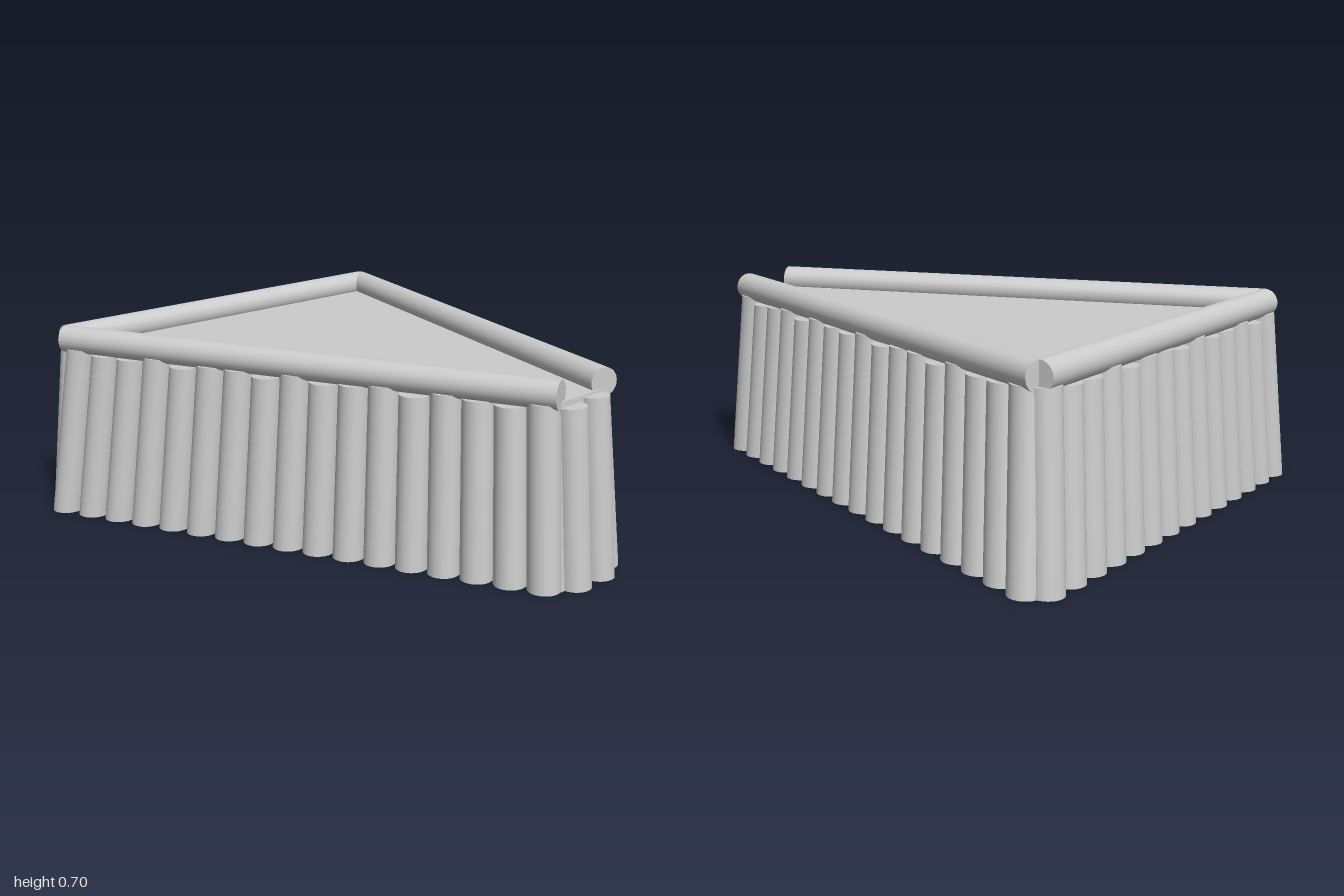
import * as THREE from 'three';
import { mergeGeometries } from 'three/addons/utils/BufferGeometryUtils.js';

const LOG_R = 0.056;
const RAIL_R = 0.05;
const RAIL_Y = 0.654;
const PLATE_Y = 0.63;
const CEILING_Y = 0.585;

// Corners of the leaning lining at the ground and at the plate
const BASE = [[-0.945, 0.83], [0.945, 0.14], [0.945, -0.14], [-0.945, -0.83]];
const TOP = [[-0.895, 0.757], [0.895, 0.113], [0.895, -0.113], [-0.895, -0.757]];

const material = new THREE.MeshStandardMaterial({ color: 0xcccccc });
const thin = new THREE.MeshStandardMaterial({ color: 0xcccccc, side: THREE.DoubleSide });

// Half-round log, open below, facing outwards along angle and leaning from base to top
function halfLog([bx, bz], [tx, tz], height, angle) {
  const tube = new THREE.CylinderGeometry(LOG_R * 0.97, LOG_R, height, 16, 1, true, -Math.PI / 2, Math.PI);
  const cap = new THREE.CircleGeometry(LOG_R * 0.97, 16, Math.PI, Math.PI);
  tube.translate(0, height / 2, 0);
  cap.rotateX(-Math.PI / 2).translate(0, height, 0);
  const geo = mergeGeometries([tube, cap]).rotateY(angle);
  const pos = geo.attributes.position;
  for (let i = 0; i < pos.count; i++) {
    const t = pos.getY(i) / PLATE_Y;
    pos.setX(i, pos.getX(i) + bx + (tx - bx) * t);
    pos.setZ(i, pos.getZ(i) + bz + (tz - bz) * t);
  }
  geo.computeVertexNormals();
  const mesh = new THREE.Mesh(geo, thin);
  mesh.name = 'log';
  return mesh;
}

// Row of logs along one wall, with slightly uneven tops
function logRow(name, count, baseEnds, topEnds, angle) {
  const row = new THREE.Group();
  row.name = name;
  const along = ([a, b], t) => [a[0] + (b[0] - a[0]) * t, a[1] + (b[1] - a[1]) * t];
  for (let i = 0; i < count; i++) {
    const t = i / (count - 1);
    const height = 0.613 + 0.012 * Math.sin(i * 2.4 + 1);
    row.add(halfLog(along(baseEnds, t), along(topEnds, t), height, angle));
  }
  return row;
}

// Round rail between two points at rail height
function rail(name, [x0, z0], [x1, z1]) {
  const a = new THREE.Vector3(x0, RAIL_Y, z0), b = new THREE.Vector3(x1, RAIL_Y, z1);
  const dir = b.clone().sub(a);
  const mesh = new THREE.Mesh(new THREE.CylinderGeometry(RAIL_R, RAIL_R, dir.length(), 24), material);
  mesh.position.copy(a).add(b).multiplyScalar(0.5);
  mesh.quaternion.setFromUnitVectors(new THREE.Vector3(0, 1, 0), dir.normalize());
  mesh.name = name;
  return mesh;
}

// Inner lining: four leaning walls, a plate on top and a ceiling below it
function lining() {
  const ring = (y) => BASE.map(([x, z], i) => {
    const t = y / PLATE_Y;
    return [x + (TOP[i][0] - x) * t, y, z + (TOP[i][1] - z) * t];
  });
  const bottom = ring(0), ceiling = ring(CEILING_Y), top = ring(PLATE_Y);
  const pos = [];
  const quad = (a, b, c, d) => pos.push(...a, ...b, ...c, ...a, ...c, ...d);
  for (let i = 0; i < 4; i++) {
    const j = (i + 1) % 4;
    quad(bottom[i], bottom[j], top[j], top[i]);
  }
  quad(...top);
  quad(...ceiling.reverse());
  const geo = new THREE.BufferGeometry();
  geo.setAttribute('position', new THREE.Float32BufferAttribute(pos, 3));
  geo.computeVertexNormals();
  const mesh = new THREE.Mesh(geo, thin);
  mesh.name = 'lining';
  return mesh;
}

export function createModel() {
  const model = new THREE.Group();
  model.name = 'logPlanter';

  // Walls of the two ends
  model.add(logRow('wideEndLogs', 14, [[-0.944, -0.77], [-0.944, 0.77]],
    [[-0.895, -0.728], [-0.895, 0.728]], -Math.PI / 2));
  model.add(logRow('narrowEndLogs', 2, [[0.944, -0.064], [0.944, 0.064]],
    [[0.895, -0.06], [0.895, 0.06]], Math.PI / 2));

  // Slanted walls and their rails, mirrored front to back
  const slant = Math.atan2(0.35, 0.94);
  for (const [side, s] of [['front', 1], ['back', -1]]) {
    model.add(logRow(side + 'Logs', 17, [[-0.89, 0.81 * s], [0.89, 0.16 * s]],
      [[-0.842, 0.738 * s], [0.842, 0.132 * s]], s > 0 ? slant : Math.PI - slant));
    model.add(rail(side + 'Rail', [-0.9, 0.764 * s], [0.897, 0.115 * s]));
  }

  // Rail across the wide end
  model.add(rail('wideEndRail', [-0.9, -0.765], [-0.9, 0.765]));

  model.add(lining());
  return model;
}
